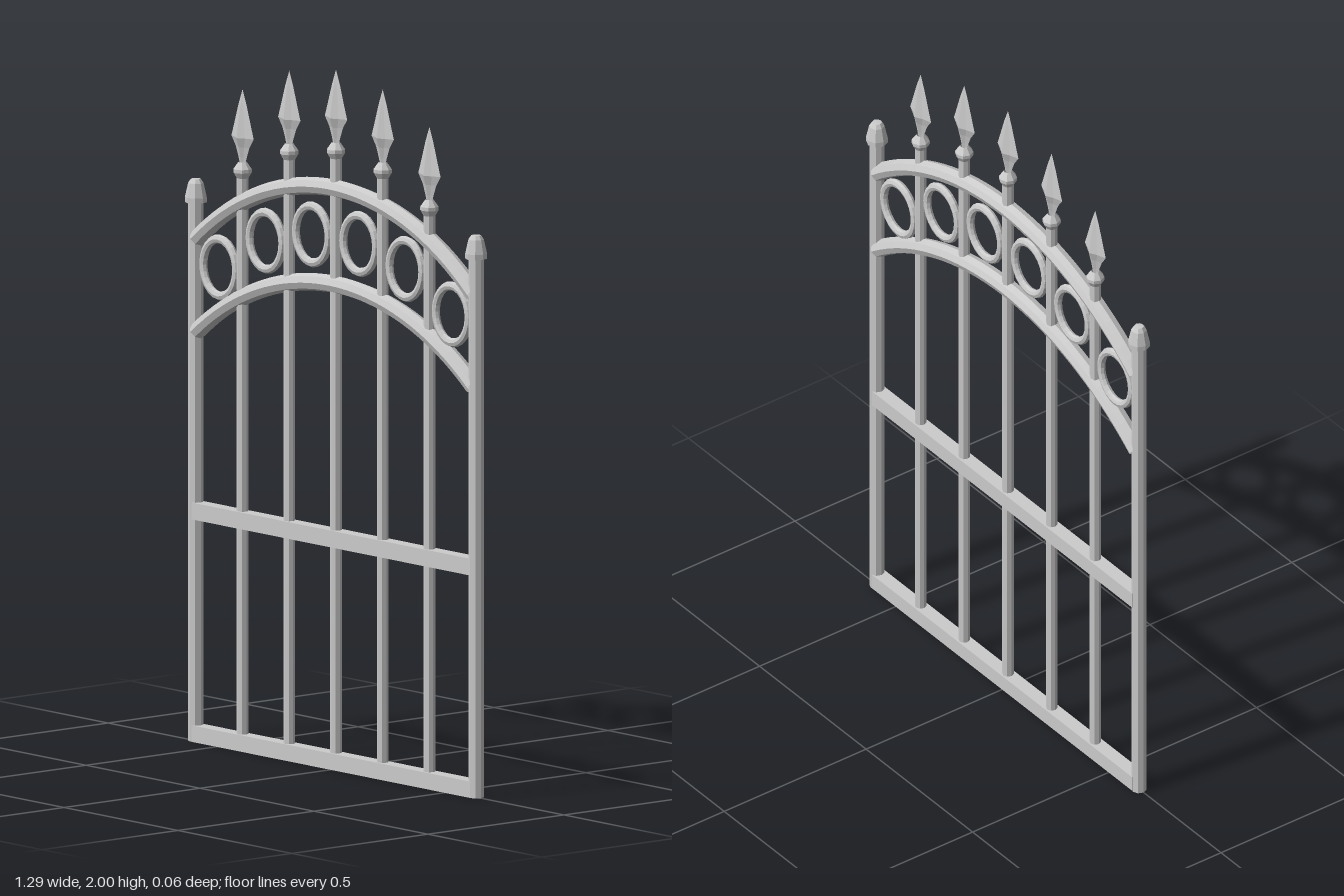
import * as THREE from 'three';

const iron = new THREE.MeshStandardMaterial({ color: 0xcccccc, flatShading: true, side: THREE.DoubleSide });

function add(parent, name, geometry, x = 0, y = 0, z = 0) {
  const mesh = new THREE.Mesh(geometry, iron);
  mesh.name = name;
  mesh.position.set(x, y, z);
  parent.add(mesh);
  return mesh;
}

function lathe(profile, sides) {
  return new THREE.LatheGeometry(profile.map(([r, y]) => new THREE.Vector2(r, y)), sides);
}

// Circular arch through the apex, dropping by `sag` at x = ±half
function archGeometry(half, sag) {
  const radius = (half * half + sag * sag) / (2 * sag);
  const angle = Math.asin(half / radius);
  const g = new THREE.TorusGeometry(radius, 0.025, 8, 32, angle * 2);
  g.rotateZ(Math.PI / 2 - angle);
  g.translate(0, -radius, 0);
  g.scale(1, 1, 1.08);
  return g;
}

// Leaf-shaped spear blade with four sharp ridges, y = 0 at its tip
function bladeGeometry() {
  const g = lathe([[0.012, -0.215], [0.018, -0.195], [0.03, -0.165], [0.049, -0.138],
    [0.036, -0.1], [0.018, -0.045], [0, 0]], 8);
  const p = g.attributes.position;
  for (let i = 0; i < p.count; i++) {
    const x = p.getX(i), z = p.getZ(i);
    // Pull the diagonal corners inward so the faces between ridges are hollow
    const k = Math.min(Math.abs(x), Math.abs(z)) > 1e-4 ? 0.62 : 1;
    p.setXYZ(i, x * k, p.getY(i), z * k * 0.45);
  }
  g.computeVertexNormals();
  return g;
}

export function createModel() {
  const gate = new THREE.Group();
  gate.name = 'gate';

  // Side posts with tapered caps
  const capShape = lathe([[0, 1.54], [0.031, 1.54], [0.031, 1.555], [0.022, 1.595], [0.014, 1.607], [0, 1.608]], 8);
  for (const side of [-1, 1]) {
    const post = new THREE.Group();
    post.name = side > 0 ? 'leftPost' : 'rightPost';
    post.position.x = side * 0.615;
    add(post, 'postShaft', new THREE.CylinderGeometry(0.022, 0.022, 1.55, 8), 0, 0.775);
    add(post, 'postCap', capShape);
    gate.add(post);
  }

  // Flat rails
  add(gate, 'bottomRail', new THREE.BoxGeometry(1.22, 0.047, 0.042), 0, 0.0235);
  add(gate, 'middleRail', new THREE.BoxGeometry(1.22, 0.048, 0.042), 0, 0.66);

  // Arched rails
  add(gate, 'upperArch', archGeometry(0.607, 0.222), 0, 1.66);
  add(gate, 'lowerArch', archGeometry(0.607, 0.212), 0, 1.385);

  // Upright bars topped by a knob and a spear
  const blade = bladeGeometry();
  const knob = lathe([[0.016, -0.255], [0.026, -0.238], [0.026, -0.228], [0.012, -0.208]], 8);
  const tips = [2, 1.97, 1.89];
  for (let i = -2; i <= 2; i++) {
    const tip = tips[Math.abs(i)];
    const bar = new THREE.Group();
    bar.name = 'bar' + (i + 3);
    bar.position.x = i * 0.205;
    const height = tip - 0.25;
    add(bar, 'barShaft', new THREE.CylinderGeometry(0.0165, 0.0165, height, 8), 0, height / 2);
    add(bar, 'spearKnob', knob, 0, tip);
    add(bar, 'spearBlade', blade, 0, tip);
    gate.add(bar);
  }

  // Oval rings between the two arches
  const ring = new THREE.TorusGeometry(0.072, 0.0115, 8, 24);
  ring.scale(1, 1.13, 1);
  for (const [x, y] of [[0.104, 1.515], [0.307, 1.47], [0.51, 1.367]]) {
    for (const side of [-1, 1]) add(gate, 'ring', ring, side * x, y);
  }

  return gate;
}
